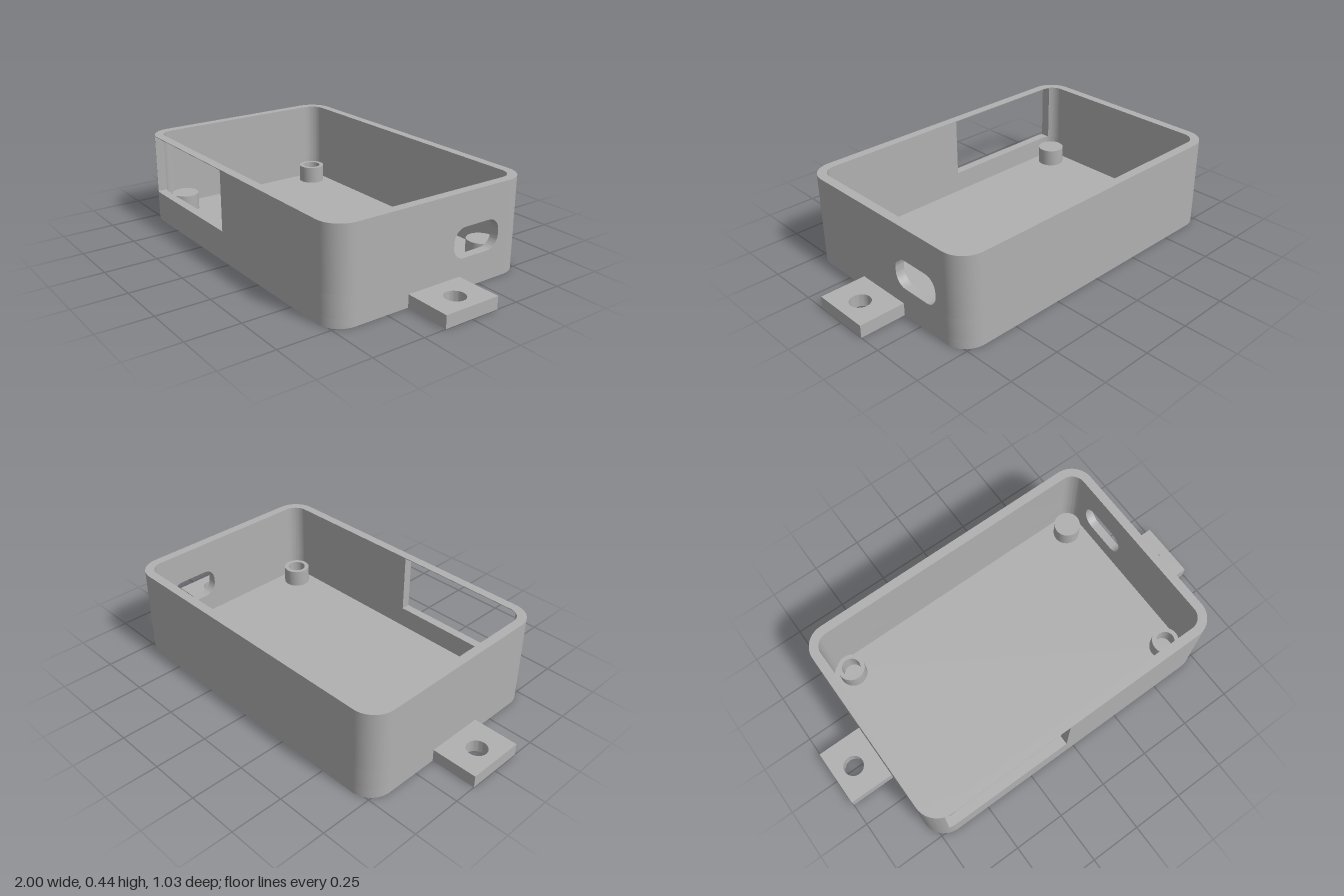
import * as THREE from 'three';
import { toCreasedNormals } from 'three/addons/utils/BufferGeometryUtils.js';

const X = 0.78, Z = 0.517, R = 0.11, T = 0.043; // half sizes, corner radius, wall
const CX = X - R, CZ = Z - R;
const H = 0.435, RIM = 0.432, FLOOR = 0.043;
const WIN = { x0: -0.705, x1: -0.05, y: 0.145 };
const P = Math.PI;

export function createModel() {
  const group = new THREE.Group();
  group.name = 'enclosure';
  const grey = new THREE.MeshStandardMaterial({ color: 0xb0b0b0 });
  grey.name = 'grey plastic';

  const add = (name, geometry, x = 0, y = 0, z = 0) => {
    const mesh = new THREE.Mesh(toCreasedNormals(geometry, 0.6), grey);
    mesh.name = name;
    mesh.position.set(x, y, z);
    group.add(mesh);
  };
  const extrude = (shape, depth) =>
    new THREE.ExtrudeGeometry(shape, { depth, bevelEnabled: false, curveSegments: 16 });
  // plan shapes use (x, -z) and rise from y0 to y1
  const slab = (name, shape, y0, y1, x = 0, z = 0) =>
    add(name, extrude(shape, y1 - y0).rotateX(-P / 2), x, y0, z);

  const arc = (cx, cy, r, a0, a1, n = 14) =>
    Array.from({ length: n + 1 }, (_, i) => {
      const a = a0 + (a1 - a0) * i / n;
      return new THREE.Vector2(cx + r * Math.cos(a), cy + r * Math.sin(a));
    });
  const roundRect = (cx, cy, hw, hh, r) => [
    ...arc(cx + hw - r, cy + hh - r, r, 0, P / 2),
    ...arc(cx - hw + r, cy + hh - r, r, P / 2, P),
    ...arc(cx - hw + r, cy - hh + r, r, P, 1.5 * P),
    ...arc(cx + hw - r, cy - hh + r, r, 1.5 * P, 2 * P),
  ];
  const withHole = (outer, hole) => {
    const shape = new THREE.Shape(outer);
    shape.holes.push(new THREE.Path(hole));
    return shape;
  };
  // wall section between an outer path and the same path at the inner radius
  const wall = path => new THREE.Shape([...path(R), ...path(R - T).reverse()]);

  const frontRight = r => arc(CX, -CZ, r, 0, -P / 2);
  const frontLeft = (r, a0 = -P / 2) => arc(-CX, -CZ, r, a0, -P);
  const rear = r => [...arc(-CX, CZ, r, P, P / 2), ...arc(CX, CZ, r, P / 2, 0)];

  // floor and walls, open at the front window
  slab('floor', new THREE.Shape(roundRect(0, 0, X, Z, R)), 0, FLOOR);
  slab('lowerWall', wall(r => [...frontRight(r), ...frontLeft(r), ...rear(r)]), FLOOR, WIN.y);
  slab('frontWall', wall(r => [...frontRight(r), new THREE.Vector2(WIN.x1, -CZ - r)]), WIN.y, RIM);
  slab('sideAndBackWall',
    wall(r => [...frontLeft(r, -Math.acos((WIN.x0 + CX) / r)), ...rear(r)]), WIN.y, RIM);

  // thin rim that closes the window at the top
  slab('rim', withHole(roundRect(0, 0, X, Z, R), roundRect(0, 0, X - T, Z - T, R - T)), RIM, H);

  // end wall with a rounded cable slot
  const panel = [[-CZ, FLOOR], [CZ, FLOOR], [CZ, RIM], [-CZ, RIM]].map(p => new THREE.Vector2(...p));
  const slot = roundRect(0.2275, 0.21, 0.1275, 0.07, 0.06);
  add('slottedWall', extrude(withHole(panel, slot), T).rotateY(P / 2), X - T);

  // mounting tabs with screw holes
  for (const s of [-1, 1]) {
    const tab = [[-0.115, -0.14], [0.115, -0.14], [0.115, 0.14], [-0.115, 0.14]]
      .map(p => new THREE.Vector2(...p));
    slab('mountingTab', withHole(tab, arc(s * 0.015, 0, 0.048, 0, 2 * P, 32).slice(0, -1)),
      0, 0.06, s * 0.885);
  }

  // corner posts: one diagonal pair is hollow, the other solid
  for (const sx of [-1, 1]) for (const sz of [-1, 1]) {
    const ring = r => arc(0, 0, r, 0, 2 * P, 32).slice(0, -1);
    const hollow = sx === sz;
    slab(hollow ? 'hollowPost' : 'solidPost',
      hollow ? withHole(ring(0.065), ring(0.044)) : new THREE.Shape(ring(0.065)),
      FLOOR, 0.128, sx * 0.65, sz * 0.39);
  }
  return group;
}
